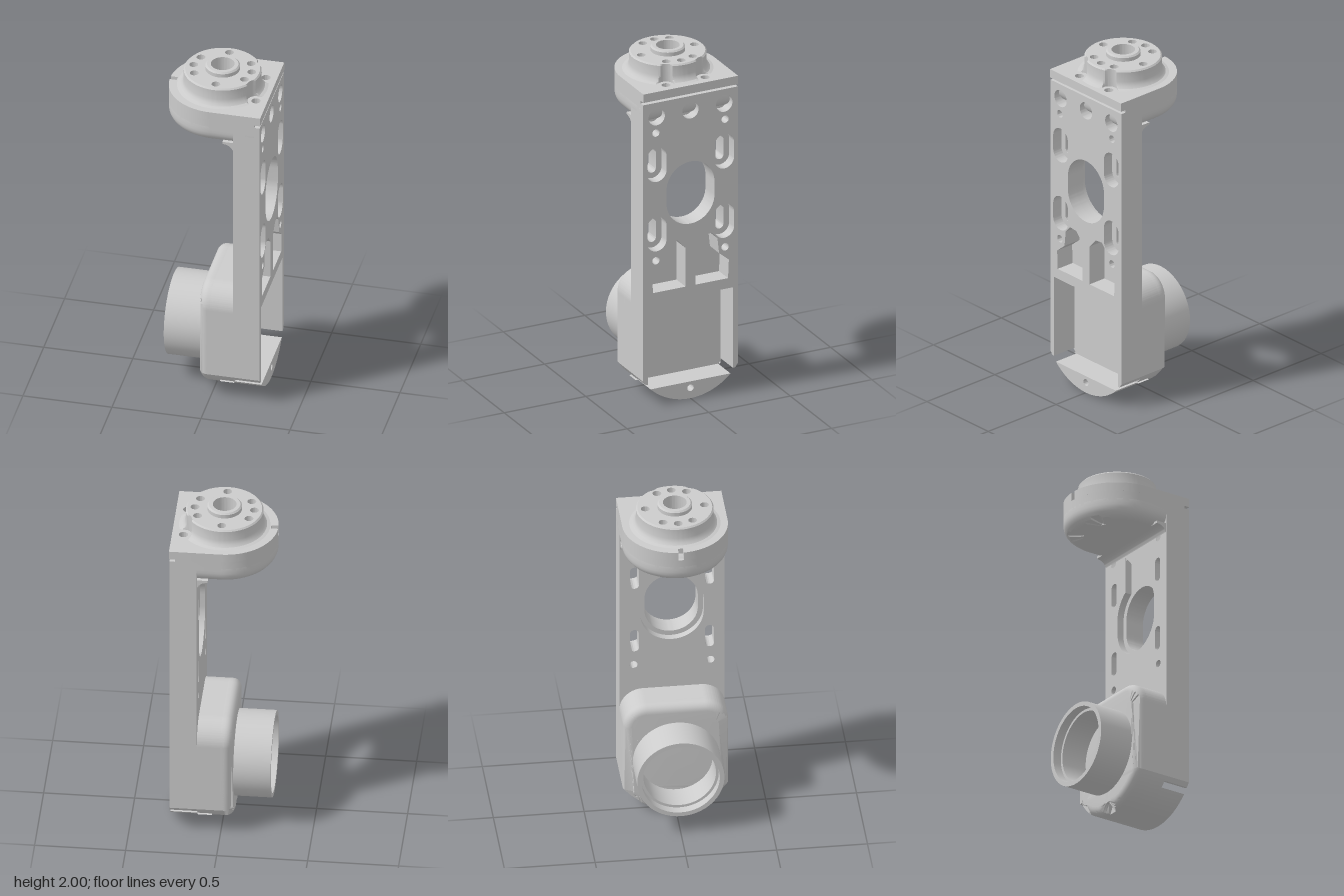
import * as THREE from 'three';
import { toCreasedNormals } from 'three/addons/utils/BufferGeometryUtils.js';

const PI = Math.PI;
const material = new THREE.MeshStandardMaterial({ color: 0xcccccc });

function add(group, name, geometry) {
  const mesh = new THREE.Mesh(toCreasedNormals(geometry, 0.5), material);
  mesh.name = name;
  group.add(mesh);
  return mesh;
}

// Round hole, or a vertical slot when h > 0
function hole(u, v, r, h = 0) {
  const p = new THREE.Path();
  if (h === 0) return p.absarc(u, v, r, 0, 2 * PI);
  p.absarc(u, v + h, r, 0, PI);
  p.absarc(u, v - h, r, PI, 2 * PI);
  return p;
}

const polygon = (pts) => new THREE.Path(pts.map(([u, v]) => new THREE.Vector2(u, v)));
const pair = (fn) => [fn(1), fn(-1)];

// Extrude from a to b; a bevel rounds the outline while listed round holes stay straight
function slab(shape, holes, a, b, bevel = 0, rounds = []) {
  shape.holes = holes;
  const g = new THREE.ExtrudeGeometry(shape, {
    depth: b - a - 2 * bevel, curveSegments: 24, bevelEnabled: bevel > 0,
    bevelThickness: bevel, bevelSize: bevel, bevelOffset: -bevel, bevelSegments: 6,
  });
  const p = g.attributes.position;
  for (let i = 0; i < p.count; i++) {
    for (const [u, v, r] of rounds) {
      const du = p.getX(i) - u, dv = p.getY(i) - v, d = Math.hypot(du, dv);
      if (d < r + bevel + 0.004 && d > r * 0.9) p.setXY(i, u + du / d * r, v + dv / d * r);
    }
  }
  return g.translate(0, 0, a + bevel);
}
const alongX = (g) => g.rotateY(PI / 2);
const alongY = (g) => g.rotateX(-PI / 2);
const lathe = (pts, n = 72) =>
  new THREE.LatheGeometry(pts.map(([r, y]) => new THREE.Vector2(r, y)), n);

// Back plate outline with two thin legs around the lower opening
function plateShape() {
  return new THREE.Shape(polygon([
    [0.26, 0.13], [0.273, 0.13], [0.29, 0.154], [0.29, 1.8], [-0.29, 1.8], [-0.29, 0.154],
    [-0.273, 0.13], [-0.26, 0.13], [-0.26, 0.61], [0.26, 0.61]]).getPoints());
}

// Lower housing outline: rounded top, circular bottom
function housingShape() {
  const s = new THREE.Shape(), a = Math.acos(0.29 / 0.35);
  s.absarc(0, 0.35, 0.35, PI + a, 2 * PI - a);
  s.absarc(0.16, 0.57, 0.13, 0, PI / 2);
  s.absarc(-0.16, 0.57, 0.13, PI / 2, PI);
  s.closePath();
  return s;
}

// D-shaped head outline with an optional index notch at the round end
function headShape(right, notch) {
  const s = new THREE.Shape(), w = 0.29;
  s.moveTo(right, -w);
  s.lineTo(right, w);
  if (notch) {
    s.absarc(0, 0, w, PI / 2, PI - 0.05);
    s.lineTo(-0.25, 0.0145);
    s.lineTo(-0.25, -0.0145);
    s.absarc(0, 0, w, PI + 0.05, 1.5 * PI);
  } else s.absarc(0, 0, w, PI / 2, 1.5 * PI);
  s.closePath();
  return s;
}

// Radius of the flange, cut back where the two screw recesses bite into it
function flangeRadius(angle, r) {
  const d = Math.hypot(0.215, 0.12), centre = Math.atan2(0.12, 0.215);
  for (const c of [centre, -centre]) {
    const delta = angle - c, q = 0.048 ** 2 - (d * Math.sin(delta)) ** 2;
    if (Math.cos(delta) > 0 && q > 0) r = Math.min(r, d * Math.cos(delta) - Math.sqrt(q));
  }
  return r;
}

function buildPlate(group) {
  const slots = (r, h) => [1.43, 1.017].flatMap((y) => pair((s) => hole(s * 0.207, y, r, h)));
  const pins = () => [1.62, 0.86].flatMap((y) => pair((s) => hole(s * 0.212, y, 0.022)));
  const screws = (r) => [-0.207, 0, 0.207].map((u) => hole(u, 1.715, r));
  const pockets = () => pair((s) => polygon([
    [0.03, 0.67], [0.23, 0.67], [0.235, 0.78], [0.175, 0.83], [0.165, 0.92],
    [0.13, 0.96], [0.08, 0.955], [0.03, 0.9]].map(([u, v]) => [u * s, v])));
  const window = () => hole(0, 1.225, 0.147, 0.038);
  // Wider window with a channel above it on the inner face
  const relief = new THREE.Path();
  const a = Math.acos(0.1 / 0.175);
  relief.moveTo(-0.1, 1.62);
  relief.absarc(0, 1.263, 0.175, PI - a, PI);
  relief.absarc(0, 1.187, 0.175, PI, 2 * PI);
  relief.absarc(0, 1.263, 0.175, 0, a);
  relief.lineTo(0.1, 1.62);

  add(group, 'plateOuterLayer', alongX(slab(plateShape(),
    [...slots(0.06, 0.042), ...pins(), ...screws(0.05), ...pockets(), window()], 0.22, 0.28)));
  add(group, 'plateMiddleLayer', alongX(slab(plateShape(),
    [...slots(0.025, 0.045), ...pins(), ...screws(0.028), ...pockets(), window()], 0.17, 0.22)));
  add(group, 'plateInnerLayer', alongX(slab(plateShape(),
    [...slots(0.025, 0.045), ...pins(), relief], 0.13, 0.17)));
}

function buildHousing(group) {
  const rounds = [[-0.21, 0.56, 0.025], [0.21, 0.14, 0.025], [0, 0.062, 0.016]];
  const small = () => rounds.map((c) => hole(...c));
  const blind = pair((s) => hole(s * 0.21, 0.35 + s * 0.21, 0.025));
  add(group, 'housingFace', alongX(slab(housingShape(),
    [hole(0, 0.35, 0.23), ...small()], -0.065, 0.045, 0.045, [...rounds, [0, 0.35, 0.23]])));
  add(group, 'housingFloor', alongX(slab(housingShape(),
    [hole(0, 0.35, 0.242), ...small(), ...blind], -0.02, 0.05)));
  add(group, 'housingWall', alongX(slab(housingShape(),
    [polygon([[-0.26, 0.1], [0.26, 0.1], [0.26, 0.61], [-0.26, 0.61]]), hole(0, 0.062, 0.016)], 0.05, 0.13)));
  // Curved lip below the opening
  const lip = new THREE.Shape(), a = Math.asin(0.25 / 0.35);
  lip.absarc(0, 0.35, 0.35, PI + a, 2 * PI - a);
  lip.closePath();
  add(group, 'bottomLip', alongX(slab(lip, [hole(0, 0.062, 0.02)], 0.13, 0.28)));
  // Stepped tube
  const tube = lathe([
    [0.21, -0.04], [0.225, -0.04], [0.225, -0.05], [0.245, -0.052], [0.245, 0], [0.24, 0],
    [0.24, 0.27], [0.215, 0.27], [0.215, 0.22], [0.2, 0.22], [0.2, 0.06], [0.185, 0.06],
    [0.185, 0.02], [0.21, 0.02], [0.21, -0.04]]);
  add(group, 'tube', tube.rotateZ(PI / 2)).position.y = 0.35;
}

function buildHead(group) {
  const at = (deg) => [0.005 + 0.163 * Math.cos(deg * PI / 180), 0.163 * Math.sin(deg * PI / 180), 0.024];
  const through = [30, 150, 210, 330].map(at);
  const bolts = () => through.map((c) => hole(...c));
  add(group, 'headUnderside', alongY(slab(headShape(0.25), bolts(), 1.665, 1.84, 0.07, through)));
  add(group, 'headBody', alongY(slab(headShape(0.25), bolts(), 1.75, 1.815)));
  add(group, 'headTop', alongY(slab(headShape(0.283, true),
    [...bolts(), ...pair((s) => hole(0.22, s * 0.12, 0.025))], 1.815, 1.865)));

  // Flange disc with its bolt circle
  const disc = new THREE.Shape();
  for (let i = 0; i < 180; i++) {
    const t = i * PI / 90, r = flangeRadius(t, 0.205);
    disc[i ? 'lineTo' : 'moveTo'](0.005 + r * Math.cos(t), r * Math.sin(t));
  }
  disc.closePath();
  add(group, 'flange', alongY(slab(disc,
    [...bolts(), ...[0, 90, 180, 270].map((d) => hole(...at(d))), hole(0.005, 0, 0.08)], 1.865, 1.97)));

  // Flared skirt around the flange
  const skirt = lathe([[0.25, 1.865], [0.232, 1.87], [0.22, 1.882], [0.213, 1.905],
    [0.213, 1.962], [0.205, 1.97]], 180);
  const p = skirt.attributes.position;
  for (let i = 0; i < p.count; i++) {
    const t = Math.atan2(p.getZ(i), p.getX(i));
    const r = flangeRadius(t, Math.hypot(p.getX(i), p.getZ(i)));
    p.setX(i, r * Math.cos(t));
    p.setZ(i, r * Math.sin(t));
  }
  add(group, 'flangeSkirt', skirt).position.x = 0.005;

  add(group, 'hub', lathe([[0.095, 1.965], [0.095, 1.992], [0.086, 2], [0.065, 2],
    [0.065, 1.9], [0, 1.9]])).position.x = 0.005;

  // Fillet between head and plate
  const fillet = new THREE.Shape();
  fillet.moveTo(0.07, 1.68);
  fillet.lineTo(0.07, 1.666);
  fillet.quadraticCurveTo(0.13, 1.665, 0.135, 1.6);
  fillet.lineTo(0.135, 1.68);
  add(group, 'headFillet', slab(fillet, [], -0.285, 0.285));
}

export function createModel() {
  const model = new THREE.Group();
  model.name = 'jointBracket';
  for (const [name, build] of [['plate', buildPlate], ['housing', buildHousing], ['head', buildHead]]) {
    const part = new THREE.Group();
    part.name = name;
    build(part);
    model.add(part);
  }
  return model;
}
